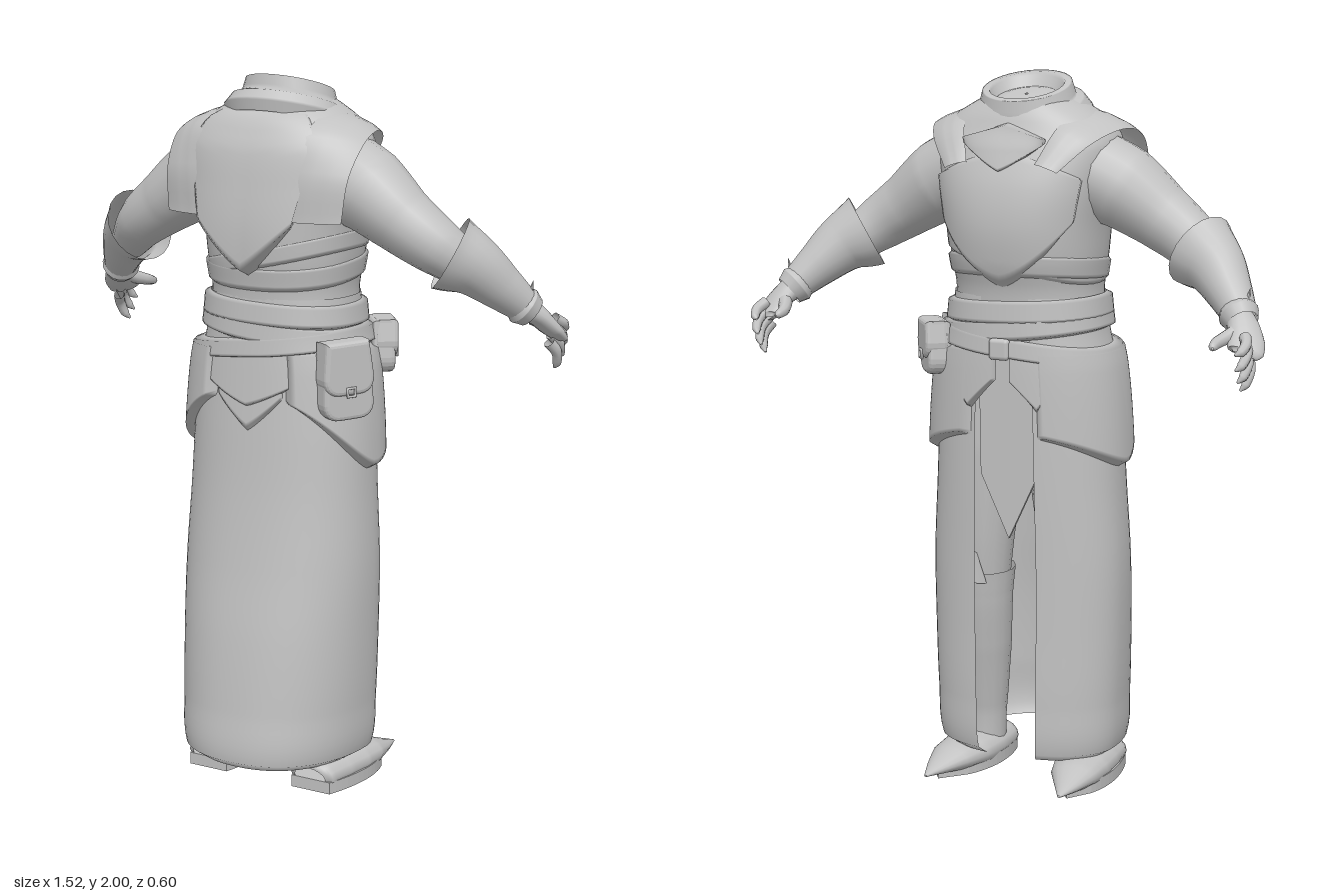
import * as THREE from 'three';
import { ParametricGeometry } from 'three/addons/geometries/ParametricGeometry.js';
import { RoundedBoxGeometry } from 'three/addons/geometries/RoundedBoxGeometry.js';

const PI = Math.PI;
const clay = new THREE.MeshStandardMaterial({ color: 0xc2c2c2, side: THREE.DoubleSide });
clay.name = 'plain grey';
const V = (p) => new THREE.Vector3(...p);
const lerp = THREE.MathUtils.lerp;

// Body profiles: height, half width, depth at +z, depth at -z
const TORSO = [
  [1.25, 0.212, 0.17, 0.175], [1.35, 0.208, 0.172, 0.178], [1.42, 0.205, 0.175, 0.185],
  [1.5, 0.215, 0.188, 0.208], [1.6, 0.225, 0.196, 0.22], [1.7, 0.245, 0.194, 0.21],
  [1.8, 0.262, 0.186, 0.178], [1.85, 0.245, 0.17, 0.155], [1.89, 0.2, 0.15, 0.14], [1.93, 0.13, 0.11, 0.12],
];
const SKIRT = [
  [0.082, 0.225, 0.268, 0.14], [0.105, 0.262, 0.3, 0.172], [0.25, 0.274, 0.29, 0.18],
  [0.45, 0.281, 0.268, 0.18], [0.65, 0.283, 0.237, 0.182], [0.85, 0.273, 0.212, 0.186],
  [1.05, 0.262, 0.196, 0.188], [1.2, 0.245, 0.185, 0.188], [1.3, 0.222, 0.178, 0.185], [1.42, 0.208, 0.172, 0.18],
];

// Smooth lookup of a profile at height y
function profileAt(rows, y) {
  let i = 0;
  while (i < rows.length - 2 && y > rows[i + 1][0]) i++;
  const p = rows[Math.max(i - 1, 0)], a = rows[i], b = rows[i + 1], q = rows[Math.min(i + 2, rows.length - 1)];
  const h = b[0] - a[0], t = THREE.MathUtils.clamp((y - a[0]) / h, 0, 1);
  return [1, 2, 3].map((k) => {
    const m0 = (b[k] - p[k]) / (b[0] - p[0]) * h, m1 = (q[k] - a[k]) / (q[0] - a[0]) * h;
    return (2 * t ** 3 - 3 * t * t + 1) * a[k] + (t ** 3 - 2 * t * t + t) * m0
      + (3 * t * t - 2 * t ** 3) * b[k] + (t ** 3 - t * t) * m1;
  });
}

// Point on a profile; angle 0 is +z, PI/2 is +x, PI is -z
function onBody(rows, a, y, off, target) {
  const [rx, zb, zf] = profileAt(rows, y);
  const soft = (n) => Math.sign(n) * Math.abs(n) ** 0.88;
  const s = Math.sin(a), c = Math.cos(a);
  target.set((rx + off) * soft(s), y, ((c > 0 ? zb : zf) + off) * soft(c));
}

// Layer lying on a profile between two angles and two edges, bevelled at its rim
function layer(rows, a0, a1, bottom, top, off, { closed = false, flare = 0, nu = 32, nv = 20 } = {}) {
  const value = (f, x) => (typeof f === 'function' ? f(x) : f);
  const mid = (a0 + a1) / 2;
  return new ParametricGeometry((u, v, target) => {
    const a = lerp(a0, a1, u);
    const y = lerp(value(bottom, a), value(top, a), v);
    let rim = Math.min(1, Math.min(v, 1 - v) * nv);
    if (!closed) rim = Math.min(rim, Math.min(u, 1 - u) * nu);
    onBody(rows, mid + (a - mid) * (1 + flare * v), y, value(off, v) * rim, target);
  }, nu, nv);
}

// Round limb through points with a radius (or [across, along]) at each point
function limb(points, radii, ref = [0, 0, 1], nu = 16, nv = 20) {
  const curve = new THREE.CatmullRomCurve3(points.map(V));
  const r = radii.map((x) => (Array.isArray(x) ? x : [x, x]));
  const up = V(ref);
  return new ParametricGeometry((u, v, target) => {
    const c = THREE.MathUtils.clamp(v, 0, 1), k = c * (r.length - 1), i = Math.min(Math.floor(k), r.length - 2);
    const T = curve.getTangent(c), N = T.clone().cross(up).normalize(), B = T.clone().cross(N);
    const w = lerp(r[i][0], r[i + 1][0], k - i), h = lerp(r[i][1], r[i + 1][1], k - i);
    target.copy(curve.getPoint(c)).addScaledVector(N, w * Math.cos(u * 2 * PI)).addScaledVector(B, h * Math.sin(u * 2 * PI));
  }, nu, nv);
}

// Sheet between two curves, bulging away from the chest centre
function sheet(inner, outer, bulge) {
  const a = new THREE.CatmullRomCurve3(inner.map(V)), b = new THREE.CatmullRomCurve3(outer.map(V));
  const heart = new THREE.Vector3(0.1, 1.65, 0);
  return new ParametricGeometry((u, v, target) => {
    const c = THREE.MathUtils.clamp(v, 0, 1);
    const p = a.getPoint(c).lerp(b.getPoint(c), u);
    const d = p.clone().sub(heart).normalize();
    target.copy(p).addScaledVector(d, bulge * Math.min(1, 4 * u * (1 - u) + 0.15));
  }, 10, 24);
}

function mirrored(geo) {
  const g = geo.clone().scale(-1, 1, 1), ix = g.index.array;
  for (let i = 0; i < ix.length; i += 3) [ix[i], ix[i + 1]] = [ix[i + 1], ix[i]];
  return g;
}

export function createModel() {
  const model = new THREE.Group();
  model.name = 'robedFigure';
  const add = (name, geo, parent = model) => {
    const m = new THREE.Mesh(geo, clay);
    m.name = name;
    parent.add(m);
    return m;
  };
  const pair = (name, geo) => {
    add(name + 'Left', geo);
    add(name + 'Right', mirrored(geo));
  };

  // Torso and open robe skirt
  add('torso', layer(TORSO, -PI, PI, 1.25, 1.93, 0, { closed: true, nu: 48, nv: 36 }));
  add('robeSkirt', layer(SKIRT, -PI + 0.29, PI - 0.29, 0.082, 1.4, 0, { nu: 56, nv: 56 }));

  // Standing collar with closed neck, tilted forward: half width, half depth, centre z, height
  const collar = [
    [0.168, 0.142, 0.005, 1.86], [0.174, 0.148, 0.003, 1.888], [0.155, 0.134, -0.008, 1.918], [0.136, 0.12, -0.022, 1.925],
    [0.125, 0.115, -0.025, 1.962], [0.105, 0.097, -0.027, 1.964], [0.09, 0.08, -0.03, 1.93], [0.07, 0.062, -0.032, 1.935], [0.004, 0.004, -0.03, 1.94],
  ];
  add('collar', new ParametricGeometry((u, v, target) => {
    const k = THREE.MathUtils.clamp(v, 0, 1) * (collar.length - 1), i = Math.min(Math.floor(k), collar.length - 2);
    const [rx, rz, cz, y] = collar[i].map((n, j) => lerp(n, collar[i + 1][j], k - i));
    const a = u * 2 * PI, z = rz * Math.cos(a);
    target.set(rx * Math.sin(a), y + 0.32 * z, cz + z);
  }, 32, 32));

  // Back plate, chest plate and throat plate
  add('backPlate', layer(TORSO, -0.55, 0.55, (a) => 1.46 + 0.26 * Math.abs(a), 1.9, (v) => 0.05 - 0.034 * v, { flare: 0.4 }));
  add('chestPlate', layer(TORSO, PI - 0.95, PI + 0.95, (a) => 1.43 + 0.2 * Math.abs(a - PI) ** 1.3,
    (a) => 1.8 - 0.08 * Math.abs(a - PI), 0.015));
  add('throatPlate', layer(TORSO, PI - 0.4, PI + 0.4, (a) => 1.74 + 0.2 * Math.abs(a - PI),
    (a) => 1.87 - 0.1 * Math.abs(a - PI), (v) => 0.022 + 0.012 * v));

  // Shoulder yokes running from back to chest
  pair('shoulderYoke', sheet(
    [[0.12, 1.62, 0.2], [0.14, 1.75, 0.195], [0.16, 1.855, 0.155], [0.16, 1.9, 0.03], [0.14, 1.865, -0.125], [0.1, 1.765, -0.2]],
    [[0.275, 1.62, 0.165], [0.288, 1.74, 0.15], [0.298, 1.83, 0.08], [0.285, 1.853, -0.01], [0.235, 1.82, -0.125], [0.165, 1.745, -0.2]], 0.009));

  // Torso straps
  add('ribStrap', layer(TORSO, -PI, PI, (a) => 1.44 - 0.02 * Math.cos(a), (a) => 1.5 - 0.02 * Math.cos(a), 0.008, { closed: true, nu: 40, nv: 8 }));
  add('slantedStrap', layer(TORSO, -PI, PI, (a) => 1.48 + 0.05 * Math.sin(a), (a) => 1.53 + 0.05 * Math.sin(a), 0.005, { closed: true, nu: 40, nv: 8 }));

  // Waist sashes
  const sash = (name, y, h, tilt, off) => add(name, layer(SKIRT, -PI, PI, (a) => y + tilt * Math.sin(a),
    (a) => y + h + tilt * Math.sin(a), off, { closed: true, nu: 48, nv: 8 }));
  sash('upperSash', 1.325, 0.065, -0.01, 0.016);
  sash('middleSash', 1.28, 0.06, -0.025, 0.016);
  sash('lowerBelt', 1.235, 0.055, 0.03, 0.026);

  // Hip flaps with curved lower edges, and small pointed tabs
  pair('hipFlap', layer(SKIRT, 0.4, 2.8, (a) => 0.922 + (Math.cos(a) > 0 ? 0.22 : 0.1) * Math.abs(Math.cos(a)) ** 1.3,
    1.26, (v) => 0.026 + 0.004 * v, { nu: 40, nv: 24 }));
  add('backTab', layer(SKIRT, -0.36, 0.36, (a) => 1.035 + 0.26 * Math.abs(a), 1.26, 0.01));
  add('backTabUpper', layer(SKIRT, -0.5, 0.5, (a) => 1.1 + 0.13 * Math.abs(a), 1.26, 0.018));
  pair('frontTab', layer(SKIRT, PI - 0.62, PI - 0.06, (a) => 1.09 + 0.3 * Math.abs(a - PI + 0.34), 1.26, 0.018));
  add('buckleKnot', new RoundedBoxGeometry(0.06, 0.06, 0.025, 2, 0.012)).position.set(0, 1.262, -0.208);

  // Pointed cloth hanging inside the robe opening
  const cloth = new THREE.Shape([[-0.09, 1.25], [0.09, 1.25], [0.085, 0.9], [0, 0.72], [-0.085, 0.9]].map((p) => new THREE.Vector2(...p)));
  add('innerCloth', new THREE.ExtrudeGeometry(cloth, { depth: 0.01, bevelEnabled: false })).position.z = -0.15;

  // Pouches on the belt, with rounded lower corners
  const pouch = (name, x, y, z, turn, tilt, w, h, d) => {
    const g = new THREE.Group();
    g.name = name;
    g.position.set(x, y, z);
    g.rotation.set(0, turn, tilt);
    model.add(g);
    const panel = (top, bottom, depth) => {
      const s = new THREE.Shape(), a = w / 2 - 0.012, r = 0.035;
      s.moveTo(-a * 0.85, top);
      s.lineTo(-a, bottom + r);
      s.quadraticCurveTo(-a, bottom, -a + r, bottom);
      s.lineTo(a - r, bottom);
      s.quadraticCurveTo(a, bottom, a, bottom + r);
      s.lineTo(a * 0.85, top);
      return new THREE.ExtrudeGeometry(s, { depth, bevelThickness: 0.012, bevelSize: 0.012, bevelSegments: 3, curveSegments: 6 });
    };
    add('pouchBody', panel(h / 2 - 0.012, -h / 2 + 0.012, d - 0.024), g).position.z = -d / 2 + 0.012;
    add('pouchFlap', panel(h / 2 - 0.01, -h * 0.12, d - 0.024), g).position.z = -d / 2 + 0.02;
    const ring = add('pouchBuckle', new THREE.TorusGeometry(0.016, 0.005, 6, 4), g);
    ring.position.set(0, -h * 0.13, d / 2 + 0.01);
    ring.rotation.z = PI / 4;
  };
  pouch('sidePouch', 0.254, 1.19, 0.11, 1.0, 0.05, 0.15, 0.215, 0.07);
  pouch('frontPouch', 0.228, 1.245, -0.138, 2.25, 0, 0.125, 0.15, 0.065);

  // Arms, flared gauntlet cuffs and wrist bands
  pair('sleeve', limb([[0.17, 1.74, 0.0], [0.27, 1.693, 0.01], [0.38, 1.62, 0.015], [0.47, 1.56, 0.002], [0.57, 1.48, -0.06]],
    [0.12, 0.116, 0.092, 0.078, 0.055]));
  pair('gauntletCuff', limb([[0.505, 1.538, -0.018], [0.562, 1.503, -0.052], [0.618, 1.446, -0.098], [0.668, 1.39, -0.145]],
    [[0.108, 0.094], [0.084, 0.078], [0.064, 0.062], [0.047, 0.045]], [0, 0, 1], 20, 16));
  pair('wristBand', limb([[0.655, 1.402, -0.135], [0.664, 1.392, -0.144], [0.68, 1.374, -0.16]], [0.048, 0.055, 0.044]));
  pair('wristSpike', new THREE.ConeGeometry(0.012, 0.05, 5).rotateZ(-0.2).translate(0.688, 1.44, -0.14));

  // Hands
  pair('palm', limb([[0.665, 1.39, -0.148], [0.69, 1.362, -0.178], [0.708, 1.33, -0.208], [0.715, 1.31, -0.232], [0.714, 1.302, -0.242]],
    [[0.036, 0.036], [0.028, 0.044], [0.023, 0.05], [0.018, 0.048], [0.006, 0.03]], [1, 0, 0.6]));
  for (let i = 0; i < 4; i++) {
    const t = i / 3, len = [0.95, 1.1, 1.08, 0.95][i];
    const base = [0.714, lerp(1.35, 1.288, t), lerp(-0.232, -0.202, t)];
    const step = (dx, dy, dz) => [base[0] + dx, base[1] + dy * len, base[2] + dz * len];
    pair('finger' + (i + 1), limb([base, step(0.012, -0.018 - 0.012 * t, -0.03 + 0.006 * t), step(0.006, -0.035 - 0.03 * t, -0.054 + 0.014 * t),
      step(-0.006, -0.042 - 0.04 * t, -0.066 + 0.016 * t)], [0.016, 0.015, 0.0125, 0.003], [1, 0, 0], 8, 9));
  }
  pair('thumb', limb([[0.685, 1.365, -0.18], [0.662, 1.345, -0.215], [0.645, 1.333, -0.255], [0.645, 1.326, -0.285], [0.648, 1.324, -0.295]],
    [0.021, 0.02, 0.016, 0.012, 0.003], [0, 1, 0], 8, 10));

  // Trousers, boots with a pointed knee cuff, and pointed shoes
  pair('trouserLeg', limb([[0.09, 1.25, -0.02], [0.11, 0.95, -0.03], [0.13, 0.7, -0.03], [0.14, 0.5, -0.02]], [0.1, 0.1, 0.085, 0.07]));
  pair('bootShaft', limb([[0.165, 0.05, 0.04], [0.16, 0.15, 0.035], [0.15, 0.35, 0.01], [0.14, 0.52, -0.015], [0.138, 0.6, -0.02]],
    [0.06, 0.06, 0.076, 0.082, 0.09]));
  pair('kneePoint', new THREE.ConeGeometry(0.05, 0.14, 4).scale(1, 1, 0.3).translate(0.138, 0.64, -0.108));
  pair('shoe', limb([[0.172, 0.045, 0.146], [0.172, 0.048, 0.135], [0.174, 0.05, 0.05], [0.18, 0.05, -0.04], [0.19, 0.049, -0.12], [0.2, 0.041, -0.2], [0.206, 0.034, -0.268]],
    [[0.05, 0.03], [0.07, 0.044], [0.082, 0.05], [0.084, 0.05], [0.07, 0.04], [0.036, 0.02], [0.004, 0.003]], [0, 1, 0], 16, 24));
  const sole = new THREE.Shape();
  sole.moveTo(0.11, 0.145);
  sole.bezierCurveTo(0.085, 0.05, 0.09, -0.05, 0.135, -0.13);
  sole.lineTo(0.2, -0.2);
  sole.lineTo(0.245, -0.13);
  sole.bezierCurveTo(0.275, -0.05, 0.265, 0.05, 0.235, 0.145);
  const soleGeo = new THREE.ExtrudeGeometry(sole, { depth: 0.034, bevelEnabled: false }).rotateX(PI / 2).translate(0, 0.04, 0);
  soleGeo.setIndex([...Array(soleGeo.attributes.position.count).keys()]);
  pair('shoeSole', soleGeo);
  return model;
}
